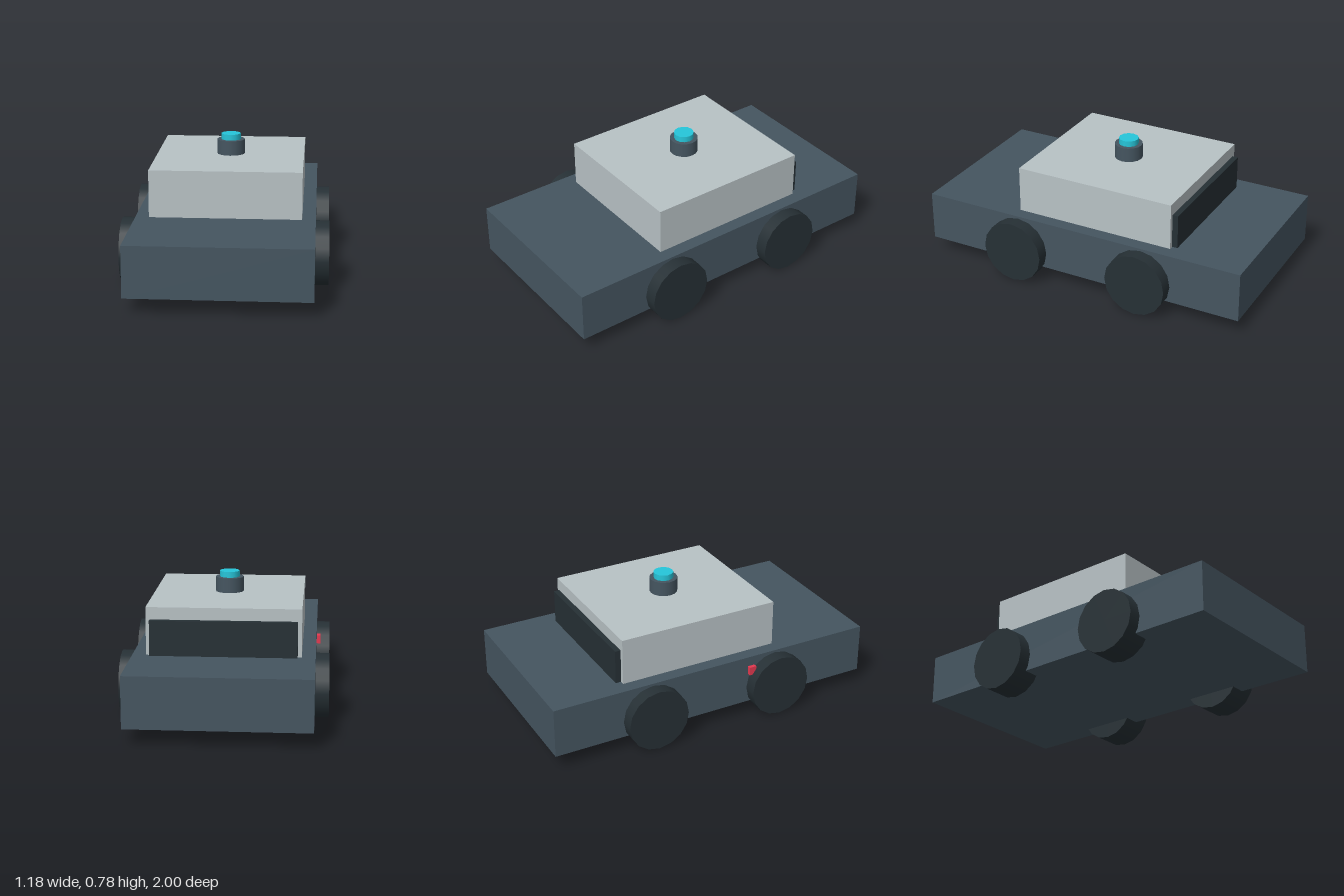
import * as THREE from 'three';

const paint = (color) => new THREE.MeshStandardMaterial({ color });
const slate = paint(0x455560);
const black = paint(0x263035);
const grey = paint(0xb8c2c5);
const cyan = paint(0x26c6da);
const red = paint(0xe53950);

export function createModel() {
  const model = new THREE.Group();
  model.name = 'vehicle';

  const add = (name, geometry, material, x, y, z) => {
    const mesh = new THREE.Mesh(geometry, material);
    mesh.name = name;
    mesh.position.set(x, y, z);
    model.add(mesh);
    return mesh;
  };

  // Low chassis with the cabin on top
  add('chassis', new THREE.BoxGeometry(1.025, 0.293, 2), slate, 0, 0.2365, 0);
  add('cabin', new THREE.BoxGeometry(0.87, 0.273, 0.97), grey, 0, 0.5195, -0.06);

  // Dark window panel on the back of the cabin
  add('windowPanel', new THREE.BoxGeometry(0.825, 0.2, 0.06), black, 0, 0.486, -0.549);

  // Roof beacon: base and lamp
  add('beaconBase', new THREE.CylinderGeometry(0.082, 0.082, 0.086, 16), slate, 0, 0.699, -0.06);
  add('beaconLamp', new THREE.CylinderGeometry(0.058, 0.058, 0.055, 12), cyan, 0, 0.749, -0.06);

  // Four wheels, partly sunk into the chassis
  const wheelGeometry = new THREE.CylinderGeometry(0.185, 0.185, 0.17, 16).rotateZ(Math.PI / 2);
  for (const [end, z] of [['front', 0.397], ['back', -0.397]]) {
    for (const [side, x] of [['Left', 0.505], ['Right', -0.505]]) {
      add(`${end}${side}Wheel`, wheelGeometry, black, x, 0.185, z);
    }
  }

  // Small red marker light on the right flank
  add('sideMarker', new THREE.BoxGeometry(0.043, 0.05, 0.043), red, -0.513, 0.3, 0.24);

  return model;
}
